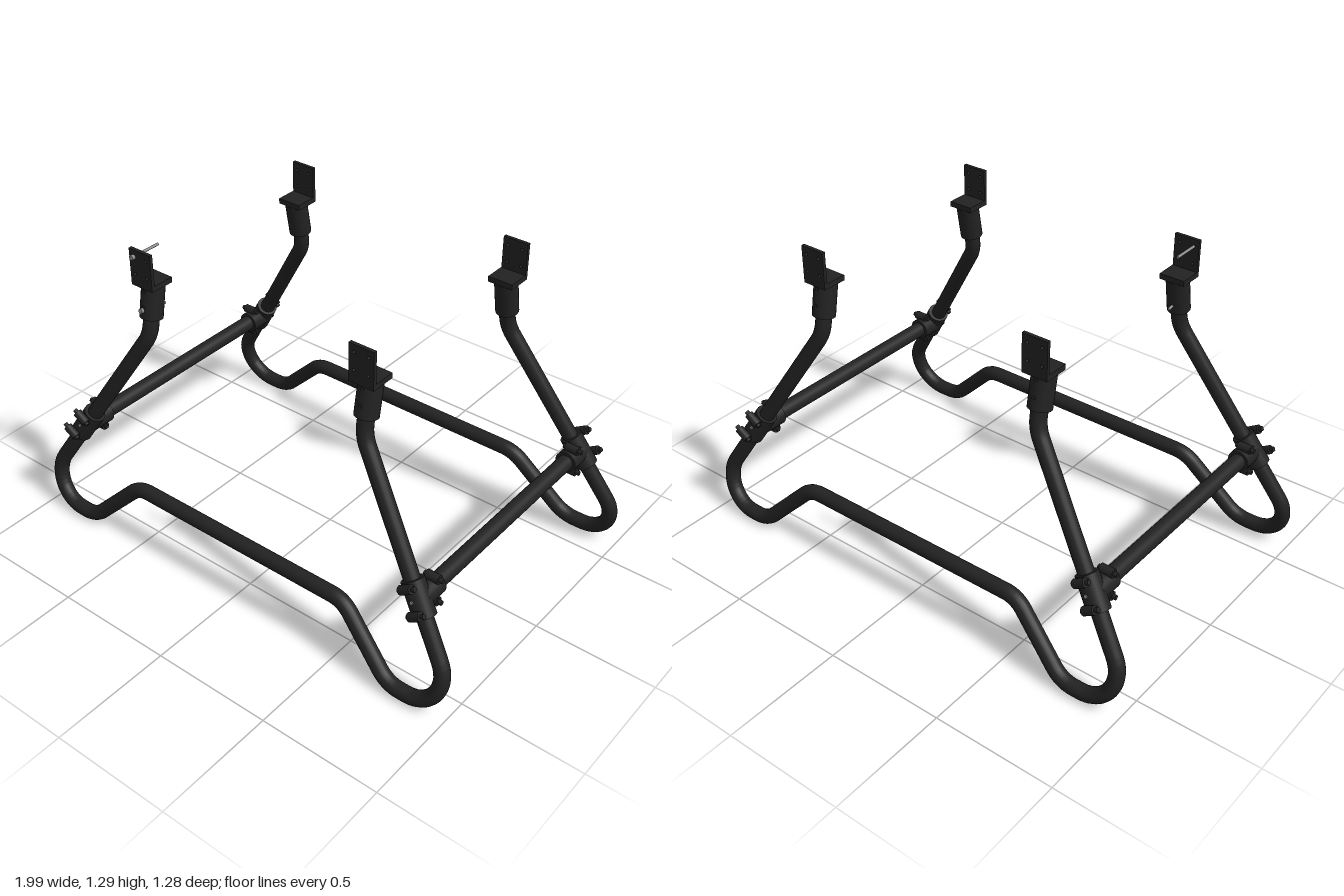
import * as THREE from 'three';

const black = new THREE.MeshStandardMaterial({ color: 0x222222 });
const steel = new THREE.MeshStandardMaterial({ color: 0x8c8c92 });
const V = (x, y, z) => new THREE.Vector3(x, y, z);
const TUBE = 0.031;
const lean = (y) => 0.615 - 0.18 * y; // z of the leaning frame plane at height y

function add(parent, name, geometry, material = black) {
  const mesh = new THREE.Mesh(geometry, material);
  mesh.name = name;
  parent.add(mesh);
  return mesh;
}

// Cylinder between two points
function rod(parent, name, a, b, r, material = black, sides = 24) {
  const dir = b.clone().sub(a);
  const mesh = add(parent, name, new THREE.CylinderGeometry(r, r, dir.length(), sides), material);
  mesh.position.copy(a).add(b).multiplyScalar(0.5);
  mesh.quaternion.setFromUnitVectors(V(0, 1, 0), dir.normalize());
  return mesh;
}

// Points of a polyline whose corners are replaced by arcs: [x, y, radius]
function filletPath(corners, steps = 14) {
  const p = corners.map(([x, y]) => new THREE.Vector2(x, y));
  const out = [p[0]];
  for (let i = 1; i < p.length - 1; i++) {
    const u = p[i].clone().sub(p[i - 1]).normalize();
    const v = p[i + 1].clone().sub(p[i]).normalize();
    const turn = Math.atan2(u.cross(v), u.dot(v));
    const r = corners[i][2];
    const centre = v.clone().sub(u).normalize()
      .multiplyScalar(r / Math.cos(turn / 2)).add(p[i]);
    const start = p[i].clone().addScaledVector(u, -r * Math.tan(Math.abs(turn) / 2));
    for (let k = 0; k <= steps; k++) {
      out.push(start.clone().rotateAround(centre, turn * k / steps));
    }
  }
  out.push(p[p.length - 1]);
  return out;
}

// One bent tube: leg, foot loop, raised rail, foot loop, leg
function bentFrame(parent, sz) {
  const half = filletPath([
    [0, 0.265], [0.515, 0.265, 0.12], [0.75, 0.031, 0.13],
    [1.07, 0.031, 0.13], [0.505, 0.93, 0.15], [0.505, 1.13],
  ]);
  const left = half.map((q) => V(q.x, q.y, sz * lean(q.y)));
  const right = left.slice(1).reverse().map((q) => V(-q.x, q.y, q.z));
  const points = [...right, ...left];
  const path = new THREE.CurvePath();
  for (let i = 1; i < points.length; i++) path.add(new THREE.LineCurve3(points[i - 1], points[i]));
  path.arcLengthDivisions = 1000;
  add(parent, 'bentFrame', new THREE.TubeGeometry(path, 400, TUBE, 18));
}

// T clamp joining a leg to the crossbar, with bolted lugs
function clamp(parent, sx, sz) {
  const g = new THREE.Group();
  g.name = 'clamp';
  parent.add(g);
  const onLeg = (y) => V(sx * (0.82 - (y - 0.433) * 0.628), y, sz * lean(y));
  rod(g, 'legSleeve', onLeg(0.375), onLeg(0.492), 0.044);
  rod(g, 'barSleeve', V(sx * 0.82, 0.433, sz * 0.53), V(sx * 0.82, 0.433, sz * 0.435), 0.044);
  const lug = (p, n) => {
    const at = (d) => p.clone().addScaledVector(n, d);
    rod(g, 'lug', at(-0.02), at(0.035), 0.018, black, 16);
    rod(g, 'bolt', at(-0.03), at(0.05), 0.01, black, 6);
  };
  for (const y of [0.395, 0.478]) {
    lug(onLeg(y).add(V(0, 0.008, sz * 0.055)), V(sx * 0.85, 0.53, 0));
  }
  for (const dy of [-0.05, 0.05]) {
    lug(V(sx * 0.82, 0.433 + dy, sz * 0.466), V(sx, 0, 0));
  }
  // Set screw on the outer face of the leg sleeve
  const s = onLeg(0.433);
  rod(g, 'setScrew', s, s.clone().add(V(0, 0.008, sz * 0.047)), 0.007, steel, 12);
}

// Upright plate with four screw holes
function platePanel() {
  const w = 0.0525;
  const shape = new THREE.Shape();
  shape.moveTo(-w, 0).lineTo(w, 0).lineTo(w, 0.15).lineTo(-w, 0.15).closePath();
  for (const x of [-0.03, 0.03]) {
    for (const y of [0.05, 0.12]) {
      shape.holes.push(new THREE.Path().absarc(x, y, 0.006, 0, Math.PI * 2, true));
    }
  }
  return new THREE.ExtrudeGeometry(shape, { depth: 0.014, bevelEnabled: false, curveSegments: 8 });
}

// Socket over the leg end, topped by an L bracket
function mount(parent, sx, sz) {
  const g = new THREE.Group();
  g.name = 'mount';
  parent.add(g);
  const x = sx * 0.505;
  rod(g, 'socket', V(x, 1.003, sz * lean(1.003)), V(x, 1.145, sz * lean(1.145)), 0.045);
  for (const y of [1.05, 1.115]) {
    const z = lean(y);
    rod(g, 'socketScrew', V(x, y, sz * z), V(x, y + 0.008, sz * (z + 0.047)), 0.007, black, 12);
  }
  add(g, 'bracketShelf', new THREE.BoxGeometry(0.105, 0.022, 0.103))
    .position.set(x, 1.15, sz * 0.4175);
  add(g, 'bracketPlate', platePanel())
    .position.set(x, 1.141, sz > 0 ? 0.455 : -0.469);
}

// Loose fasteners shown at one mount
function fasteners(parent) {
  const g = new THREE.Group();
  g.name = 'fasteners';
  parent.add(g);
  rod(g, 'plateScrew', V(-0.535, 1.261, 0.345), V(-0.535, 1.261, 0.475), 0.0055, steel, 12);
  rod(g, 'plateScrewHead', V(-0.535, 1.261, 0.469), V(-0.535, 1.261, 0.482), 0.01, steel, 12);
  rod(g, 'socketBolt', V(-0.505, 1.029, 0.36), V(-0.505, 1.05, 0.48), 0.0055, steel, 12);
  rod(g, 'socketBoltHead', V(-0.505, 1.049, 0.476), V(-0.505, 1.051, 0.488), 0.01, steel, 12);
}

export function createModel() {
  const model = new THREE.Group();
  model.name = 'tableFrame';
  for (const sz of [1, -1]) {
    bentFrame(model, sz);
    for (const sx of [1, -1]) {
      clamp(model, sx, sz);
      mount(model, sx, sz);
    }
  }
  // Crossbars tying the two frames together
  for (const sx of [1, -1]) {
    rod(model, 'crossbar', V(sx * 0.82, 0.433, -0.52), V(sx * 0.82, 0.433, 0.52), 0.032);
  }
  fasteners(model);
  return model;
}
